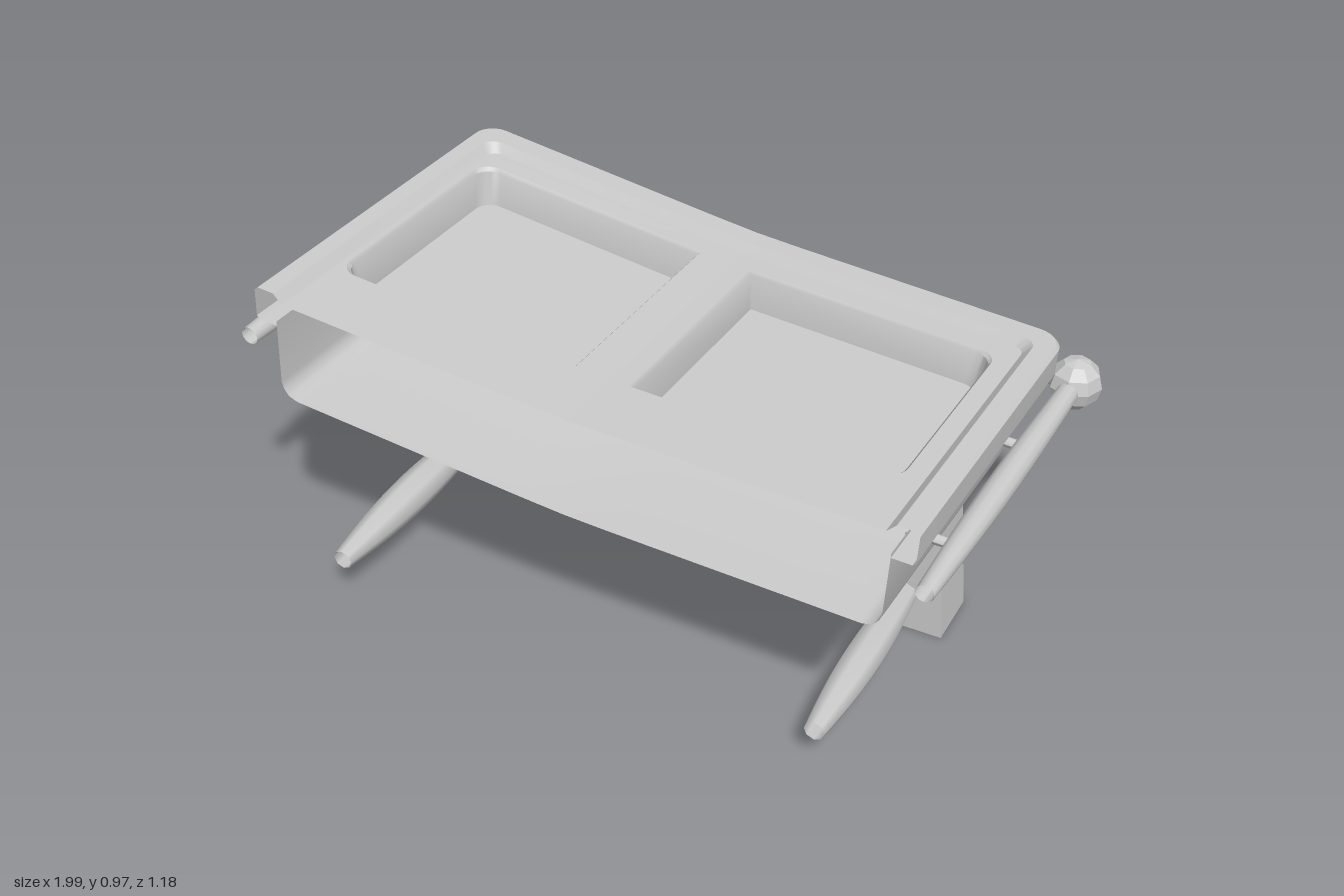
import * as THREE from 'three';
import { toCreasedNormals } from 'three/addons/utils/BufferGeometryUtils.js';

const FRONT = 0.585; // flat open front plane
const material = new THREE.MeshStandardMaterial({ color: 0xcccccc, side: THREE.DoubleSide });
const facetedMaterial = new THREE.MeshStandardMaterial({ color: 0xcccccc, side: THREE.DoubleSide, flatShading: true });

// Crooked lean of the whole upper part: sagging height, slanted back, slight roll
function warpPoint(x, y, z) {
  return [
    x - 0.03 * (z + 0.1) + 0.06 * (y - 0.8),
    y - 0.075 * x + 0.035 * Math.sqrt(x * x + 0.003),
    z + 0.07 * x * (FRONT - z) / 0.98,
  ];
}

function warp(geometry) {
  const p = geometry.attributes.position;
  for (let i = 0; i < p.count; i++) p.setXYZ(i, ...warpPoint(p.getX(i), p.getY(i), p.getZ(i)));
  geometry.computeVertexNormals();
  return geometry;
}

// Quarter-round corner in the x-z plane
function corner(cx, cz, r, from, to, n = 6) {
  return Array.from({ length: n + 1 }, (_, i) => {
    const a = from + (to - from) * i / n;
    return [cx + r * Math.cos(a), cz + r * Math.sin(a)];
  });
}

// U-shaped outline: left front, round the back, right front
function uOutline(half, back, r) {
  const pts = [[-half, FRONT], ...corner(-half + r, back + r, r, Math.PI, Math.PI * 1.5)];
  for (let i = 1; i < 12; i++) pts.push([(half - r) * (i / 6 - 1), back]);
  pts.push(...corner(half - r, back + r, r, Math.PI * 1.5, Math.PI * 2), [half, FRONT]);
  return pts;
}

// Skin through rings of [x, y, z] with equal counts
function loft(rings) {
  const n = rings[0].length, index = [];
  for (let j = 0; j < rings.length - 1; j++) {
    for (let i = 0; i < n - 1; i++) {
      const a = j * n + i, b = a + n;
      index.push(a, b, a + 1, a + 1, b, b + 1);
    }
  }
  const g = new THREE.BufferGeometry();
  g.setAttribute('position', new THREE.Float32BufferAttribute(rings.flat(2), 3));
  g.setIndex(index);
  return toCreasedNormals(warp(g), 0.6);
}

const atHeight = (pts, y) => pts.map(([x, z]) => [x, y, z]);

// Turned rod, swelling from its end radii to the middle radius
function rod(a, b, r0, rMid, r1, sides, n = 12) {
  const start = new THREE.Vector3(...a), dir = new THREE.Vector3(...b).sub(start);
  const length = dir.length(), profile = [];
  for (let i = 0; i <= n; i++) {
    const t = i / n, s = Math.sin(Math.PI * t);
    profile.push(new THREE.Vector2((r0 + (r1 - r0) * t) * (1 - s) + rMid * s, t * length));
  }
  const g = new THREE.LatheGeometry(profile, sides);
  g.applyQuaternion(new THREE.Quaternion().setFromUnitVectors(new THREE.Vector3(0, 1, 0), dir.normalize()));
  return g.translate(...a);
}

// Basin outline: outer corners rounded, corners beside the divider sharp
function basinOutline(side, inset) {
  const outer = (side < 0 ? 0.8 : 0.765) - inset, inner = (side < 0 ? 0.095 : -0.055) + inset;
  const front = 0.385 - inset, back = -0.245 + inset, r = 0.05;
  const pts = [
    [inner, front],
    ...corner(outer - r, front - r, r, Math.PI / 2, 0),
    ...corner(outer - r, back + r, r, 0, -Math.PI / 2),
    [inner, back],
    [inner, front],
  ];
  // inner is measured outward from the centre on the left, and mirrored on the right
  return pts.map(([x, z]) => [side < 0 ? -x : (x === inner ? 0.055 + inset : x), z]);
}

// Half of the counter top, with the basin cut out
function counterHalf(side, half, back, r, y) {
  const outline = [[0, FRONT], [0, back], ...corner(half - r, back + r, r, -Math.PI / 2, 0), [half, FRONT]];
  const toV = ([x, z]) => new THREE.Vector2(x, -z);
  const shape = new THREE.Shape(outline.map(([x, z]) => toV([x * side, z])));
  shape.holes.push(new THREE.Path(basinOutline(side, 0).slice(0, -1).map(toV)));
  return warp(new THREE.ShapeGeometry(shape).rotateX(-Math.PI / 2).translate(0, y, 0));
}

// Tapered leg: each end given as x range, z range and height
function legGeometry(bottom, top) {
  const g = new THREE.BoxGeometry(1, 1, 1), p = g.attributes.position;
  for (let i = 0; i < p.count; i++) {
    const e = p.getY(i) > 0 ? top : bottom;
    p.setXYZ(i, e.x[p.getX(i) > 0 ? 1 : 0], e.y, e.z[p.getZ(i) > 0 ? 1 : 0]);
  }
  g.computeVertexNormals();
  return g;
}

export function createModel() {
  const model = new THREE.Group();
  const add = (name, geometry, mat = material) => {
    const mesh = new THREE.Mesh(geometry, mat);
    mesh.name = name;
    model.add(mesh);
    return mesh;
  };

  // Hollow body, open at the front, with a rounded lower edge and flat floor
  const floor = uOutline(0.79, -0.265, 0.05);
  add('body', loft([
    atHeight(uOutline(0.835, -0.31, 0.08), 0.79),
    atHeight(uOutline(0.835, -0.31, 0.08), 0.605),
    atHeight(uOutline(0.829, -0.304, 0.08), 0.585),
    atHeight(uOutline(0.815, -0.29, 0.07), 0.568),
    atHeight(floor, 0.56),
    floor.map(([x]) => [x, 0.56, FRONT]),
  ]));

  // Raised rim around the counter
  add('counterRim', loft([
    [0.835, -0.31, 0.08, 0.777],
    [0.887, -0.387, 0.065, 0.777],
    [0.895, -0.395, 0.07, 0.785],
    [0.895, -0.395, 0.07, 0.862],
    [0.885, -0.385, 0.06, 0.872],
    [0.838, -0.325, 0.04, 0.872],
    [0.815, -0.308, 0.03, 0.847],
  ].map(([half, back, r, y]) => atHeight(uOutline(half, back, r), y))));

  for (const side of [-1, 1]) {
    const hand = side < 0 ? 'right' : 'left';
    add(hand + 'Counter', counterHalf(side, 0.815, -0.308, 0.03, 0.847));

    // Sunken basin
    const base = basinOutline(side, 0.02);
    const middle = side < 0 ? -0.45 : 0.41;
    add(hand + 'Basin', loft([
      atHeight(basinOutline(side, 0), 0.847),
      atHeight(basinOutline(side, 0.007), 0.838),
      atHeight(base, 0.742),
      base.map(() => [middle, 0.742, 0.07]),
    ]));

    // Side rail, its ball and its pegs
    const x = side * 0.925, y = 0.71;
    add(hand + 'SideRail', warp(rod([x, y, -0.45], [x, y, FRONT], 0.028, 0.036, 0.024, 12)));
    const ball = add(hand + 'RailBall', new THREE.SphereGeometry(0.072, 8, 6), facetedMaterial);
    ball.position.set(...warpPoint(x, y, -0.45));
    for (const z of [-0.09, 0.38]) {
      add(hand + 'SidePeg', warp(rod([side * 0.8, y, z], [x, y, z], 0.014, 0.014, 0.014, 8, 1)));
    }
    add('backPeg', warp(rod([side * 0.46, y, -0.28], [side * 0.46, y, -0.46], 0.014, 0.014, 0.014, 8, 1)));
  }
  add('backRail', warp(rod([-0.925, 0.71, -0.45], [0.925, 0.71, -0.45], 0.026, 0.036, 0.026, 12, 16)));

  // Two back legs, each slightly askew
  add('rightLeg', legGeometry(
    { x: [-0.845, -0.685], y: 0.01, z: [-0.28, -0.11] },
    { x: [-0.775, -0.655], y: 0.69, z: [-0.245, -0.115] }));
  add('leftLeg', legGeometry(
    { x: [0.59, 0.75], y: 0, z: [-0.2, -0.03] },
    { x: [0.59, 0.71], y: 0.605, z: [-0.165, -0.03] }));

  // Turned stretchers between the legs and towards the front
  add('backStretcher', rod([-0.7, 0.13, -0.195], [0.61, 0.115, -0.115], 0.026, 0.05, 0.026, 10));
  add('rightStretcher', rod([-0.765, 0.135, -0.13], [-0.765, 0.13, 0.56], 0.035, 0.055, 0.028, 8));
  add('leftStretcher', rod([0.64, 0.115, -0.05], [0.64, 0.115, 0.56], 0.033, 0.05, 0.028, 8));

  return model;
}
